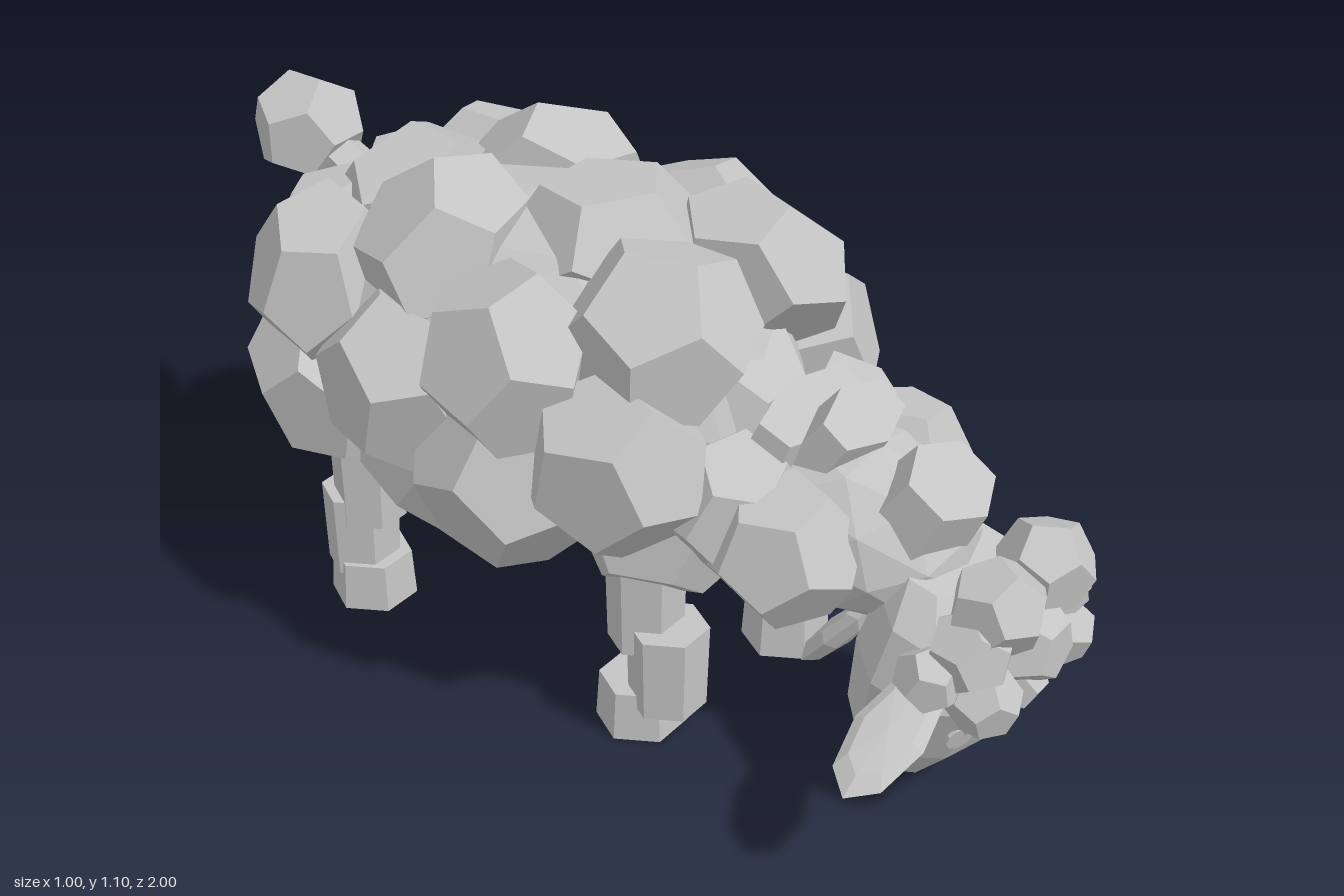
import * as THREE from 'three';

export function createModel() {
  const group = new THREE.Group();
  const grey = new THREE.MeshStandardMaterial({ color: 0xc4c4c4, flatShading: true });
  grey.name = 'lightGrey';

  const add = (name, geometry, pos, rot = [0, 0, 0], scale = [1, 1, 1]) => {
    const mesh = new THREE.Mesh(geometry, grey);
    mesh.name = name;
    mesh.position.set(...pos);
    mesh.rotation.set(...rot);
    mesh.scale.set(...scale);
    group.add(mesh);
    return mesh;
  };

  // A faceted tuft, flattened along the direction away from a centre, with a five-sided cap
  const up = new THREE.Vector3(0, 1, 0);
  const capTilt = Math.atan2(1, (1 + Math.sqrt(5)) / 2);
  const tuft = (name, x, y, z, r, centre, flat) => {
    const geometry = new THREE.DodecahedronGeometry(r).rotateX(-capTilt);
    const mesh = add(name, geometry, [x, y, z], [0, 0, 0], [1, flat, 1]);
    const out = new THREE.Vector3(x, y, z).sub(new THREE.Vector3(...centre)).normalize();
    mesh.quaternion.setFromUnitVectors(up, out);
  };
  const tufts = (name, list, centre, flat) => {
    for (const [x, y, z, r] of list) {
      tuft(name, x, y, z, r, centre(z), flat);
      if (x > 0) tuft(name, -x, y, z, r, centre(z), flat);
    }
  };

  // Body core and wool, in rows from front to back
  add('bodyCore', new THREE.IcosahedronGeometry(1, 2), [0, 0.69, -0.23], [0, 0, 0], [0.41, 0.35, 0.58]);
  tufts('bodyWool', [
    [0.17, 0.91, 0.18, 0.2], [0.31, 0.68, 0.18, 0.2], [0.18, 0.47, 0.19, 0.18], [0, 0.69, 0.24, 0.18],
    [0, 0.95, -0.07, 0.21], [0.325, 0.83, -0.07, 0.2], [0.335, 0.56, -0.08, 0.205], [0, 0.48, -0.08, 0.19],
    [0.18, 0.925, -0.35, 0.21], [0.34, 0.7, -0.34, 0.2], [0.2, 0.45, -0.36, 0.2], [0, 0.46, -0.36, 0.18],
    [0, 0.89, -0.58, 0.2], [0.275, 0.825, -0.6, 0.195], [0.265, 0.57, -0.62, 0.2], [0, 0.51, -0.62, 0.19],
    [0.14, 0.82, -0.71, 0.16], [0, 0.65, -0.74, 0.18], [0.15, 0.57, -0.72, 0.155],
  ], (z) => [0, 0.7, z * 0.65], 0.78);

  // Tail
  add('tailStub', new THREE.CylinderGeometry(0.05, 0.06, 0.16, 6), [0, 0.92, -0.8], [-1.1, 0, 0]);
  tuft('tail', 0, 0.97, -0.885, 0.125, [0, 0.8, -0.6], 1);

  // Neck: a core, side tufts and overlapping ridge blocks
  add('neckCore', new THREE.IcosahedronGeometry(1, 1), [0, 0.55, 0.53], [0.25, 0, 0], [0.2, 0.18, 0.27]);
  tufts('neckWool', [[0.2, 0.56, 0.5, 0.155], [0.18, 0.6, 0.36, 0.15]], () => [0, 0.5, 0.45], 0.95);
  for (const [y, z, w, h, d, tilt] of [
    [0.68, 0.4, 0.38, 0.16, 0.18, 0.35],
    [0.705, 0.49, 0.28, 0.17, 0.16, 0.6],
    [0.645, 0.7, 0.26, 0.14, 0.22, 0.55],
  ]) {
    const block = new THREE.CylinderGeometry(0.42, 0.5, 1, 6);
    add('neckRidge', block, [0, y, z], [tilt, 0, 0], [w, h, d]);
  }

  // Head: rings of [y, centre z, half width, half depth] from crown to muzzle
  const rings = [
    [0.54, 0.76, 0.13, 0.1], [0.46, 0.785, 0.2, 0.15], [0.34, 0.768, 0.228, 0.173],
    [0.18, 0.715, 0.188, 0.14], [0.055, 0.667, 0.1, 0.087],
  ];
  const headGeo = new THREE.CylinderGeometry(1, 1, 1, 10, 4);
  const p = headGeo.attributes.position;
  for (let i = 0; i < p.count; i++) {
    const [y, z, w, d] = rings[Math.round((0.5 - p.getY(i)) * 4)];
    p.setXYZ(i, p.getX(i) * w, y - p.getZ(i) * d * 0.22, z + p.getZ(i) * d);
  }
  headGeo.computeVertexNormals();
  add('head', headGeo, [0, 0, 0]);
  add('mouth', new THREE.CylinderGeometry(0.04, 0.04, 0.008, 10), [0, 0.054, 0.667], [0.22, 0, 0]);

  // Forelock
  tufts('forelock', [
    [0.09, 0.535, 0.9, 0.1], [0, 0.42, 0.91, 0.1], [0.14, 0.36, 0.915, 0.075],
    [0.14, 0.46, 0.88, 0.09], [0.2, 0.41, 0.83, 0.07], [0, 0.32, 0.91, 0.06],
  ], () => [0, 0.42, 0.72], 1);

  // Eyes and leaf-shaped ears
  for (const s of [1, -1]) {
    add('eye', new THREE.CylinderGeometry(0.03, 0.03, 0.008, 10), [s * 0.13, 0.24, 0.865], [Math.PI / 2 + 0.3, 0, s * -0.45]);
    add('ear', new THREE.SphereGeometry(1, 8, 4), [s * 0.3, 0.33, 0.81], [0.1, 0, s * -0.4], [0.155, 0.022, 0.075]);
  }

  // Thin flap under the throat, hanging back from the jaw
  add('throatFlap', new THREE.SphereGeometry(1, 8, 4), [0, 0.255, 0.51], [-0.9, 0, 0], [0.06, 0.03, 0.145]);

  // Legs: six-sided thigh, shin and hoof, with one front hoof set forward
  for (const [s, thigh, shin, hoof] of [
    [1, 0.18, 0.245, 0.245], [-1, 0.175, 0.235, 0.165], [1, -0.575, -0.6, -0.58], [-1, -0.575, -0.6, -0.58],
  ]) {
    const x = s * 0.205;
    const turn = [0, Math.PI / 6, 0];
    add('thigh', new THREE.CylinderGeometry(0.085, 0.078, 0.3, 6), [x, 0.36, thigh], turn);
    add('shin', new THREE.CylinderGeometry(0.085, 0.08, 0.19, 6), [x + s * 0.005, 0.175, shin], turn);
    add('hoof', new THREE.CylinderGeometry(0.088, 0.095, 0.11, 6), [x, 0.055, hoof], turn);
  }
  return group;
}
